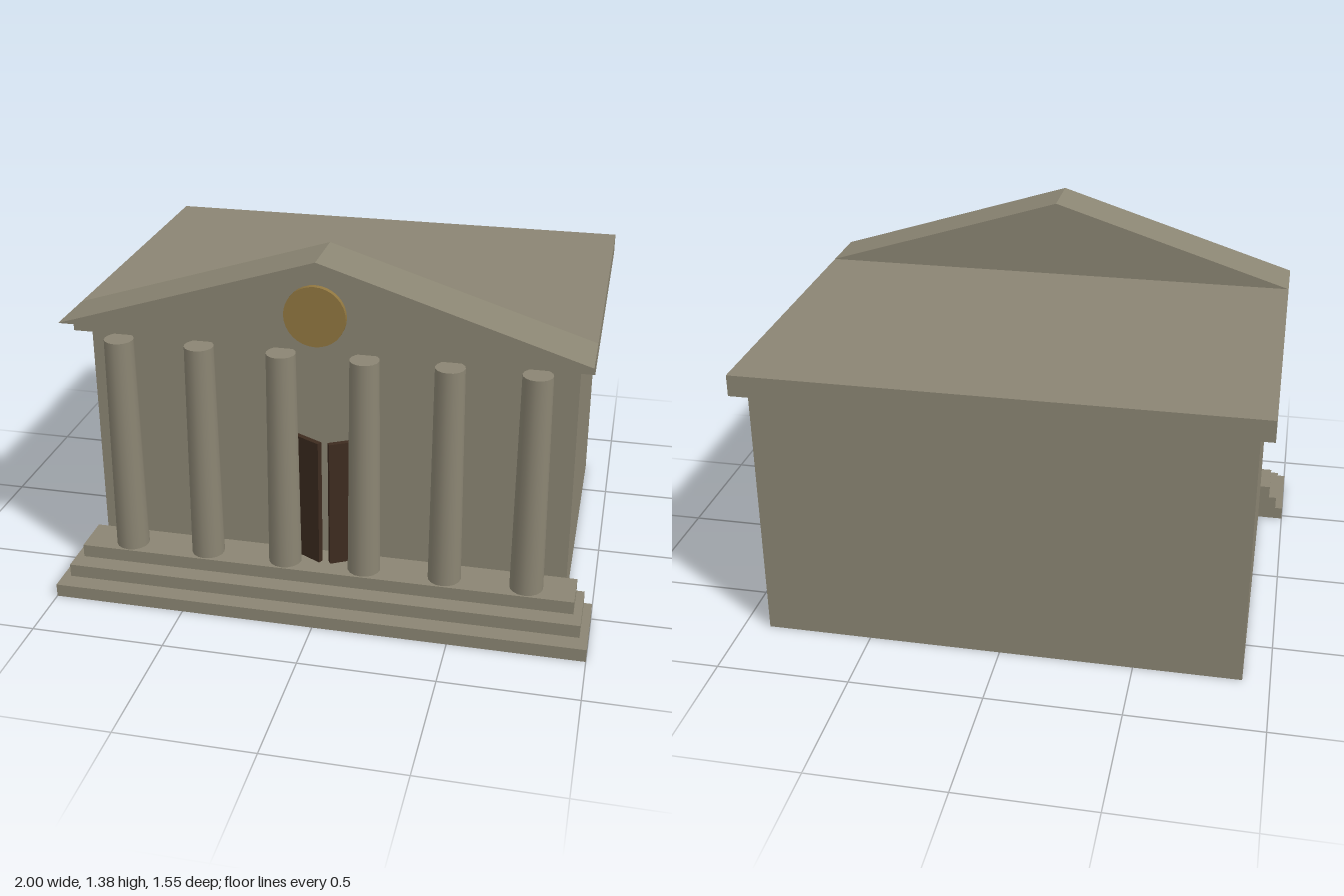
import * as THREE from 'three';

export function createModel() {
  const model = new THREE.Group();
  model.name = 'templeBuilding';

  const material = (name, color) => {
    const m = new THREE.MeshStandardMaterial({ color });
    m.name = name;
    return m;
  };
  const stone = material('stone', 0x8b8573);
  const wood = material('darkWood', 0x3d2b1f);
  const gold = material('gold', 0x917740);

  const add = (name, geometry, mat, x = 0, y = 0, z = 0, parent = model) => {
    const mesh = new THREE.Mesh(geometry, mat);
    mesh.name = name;
    mesh.position.set(x, y, z);
    parent.add(mesh);
    return mesh;
  };
  // Box given by half width, height range and depth range
  const slab = (name, halfW, y0, y1, z0, z1) =>
    add(name, new THREE.BoxGeometry(halfW * 2, y1 - y0, z1 - z0), stone, 0, (y0 + y1) / 2, (z0 + z1) / 2);

  // Main hall and flat roof
  slab('hall', 0.9, 0, 1, -0.72, 0.475);
  slab('roofSlab', 0.95, 1, 1.08, -0.775, 0.525);

  // Front steps, each one narrower and shallower
  for (let i = 0; i < 3; i++) {
    slab('step' + (i + 1), 1 - 0.03 * i, 0.05 * i, 0.05 * (i + 1), 0.475, 0.775 - 0.07 * i);
  }

  // Row of tapered columns
  const columnGeometry = new THREE.CylinderGeometry(0.054, 0.062, 0.85, 16);
  for (let i = 0; i < 6; i++) {
    add('column' + (i + 1), columnGeometry, stone, -0.76 + 0.304 * i, 0.575, 0.567);
  }

  // Triangular pediment
  const gable = new THREE.Shape([
    new THREE.Vector2(-0.95, 1.08),
    new THREE.Vector2(0.95, 1.08),
    new THREE.Vector2(0, 1.38),
  ]);
  add('pediment', new THREE.ExtrudeGeometry(gable, { depth: 0.22, bevelEnabled: false }), stone, 0, 0, 0.435);

  // Round medallion on the pediment
  const disc = new THREE.CylinderGeometry(0.11, 0.11, 0.02, 32).rotateX(Math.PI / 2);
  add('medallion', disc, gold, 0, 1.19, 0.666);

  // Pair of doors standing ajar, hinged on their outer edges
  for (const side of [-1, 1]) {
    const hinge = new THREE.Group();
    hinge.name = side < 0 ? 'rightDoor' : 'leftDoor';
    hinge.position.set(side * 0.148, 0.4, 0.485);
    hinge.rotation.y = side * 0.5;
    add('doorPanel', new THREE.BoxGeometry(0.15, 0.5, 0.02), wood, -side * 0.075, 0, 0, hinge);
    model.add(hinge);
  }

  return model;
}
